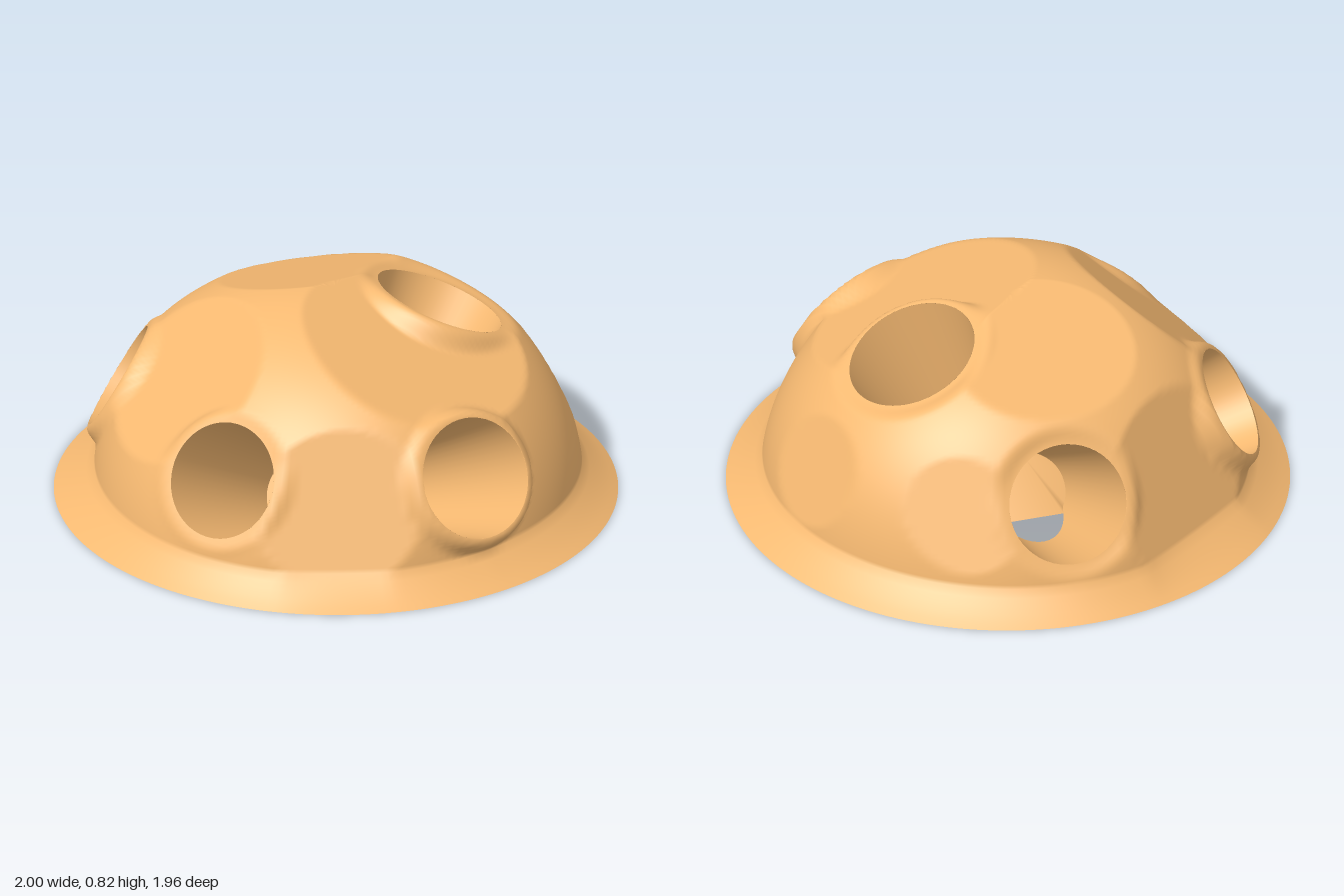
import * as THREE from 'three';

const V = (x, y, z) => new THREE.Vector3(x, y, z);
const material = new THREE.MeshStandardMaterial({ color: 0xf7ba72, side: THREE.DoubleSide });

// Flat facets that cut the round dome: normal and distance from the origin
const facets = [
  [V(0.26, 1, 0.34), 0.73], [V(0.03, 1, -0.34), 0.776], [V(-0.95, 1, 0), 0.783],
  [V(-0.35, 0.4, 0.9), 0.82], [V(-0.35, 0.4, -0.9), 0.805],
  [V(0.93, 0.37, 0), 0.85], [V(0.62, 0.4, -0.68), 0.84],
].map(([n, d]) => ({ n: n.normalize(), d }));

// Tunnels: mouth centre, azimuth and elevation in degrees, mouth radius, end radius, depth
const tunnels = [
  ['frontTunnel', V(0.21, 0.365, 0.77), 78, 28, 0.217, 0.145, 0.6],
  ['rightFrontTunnel', V(-0.62, 0.36, 0.425), 146, 29, 0.208, 0.145, 0.6],
  ['rightBackTunnel', V(-0.645, 0.36, -0.46), 214, 29, 0.203, 0.145, 0.6],
  ['backTunnel', V(0.185, 0.355, -0.71), 285, 29, 0.215, 0.145, 0.6],
  ['topTunnel', V(0.4, 0.665, 0), 0, 66, 0.237, 0.14, 0.64],
].map(([name, c, azimuth, elev, r0, r1, depth]) => {
  const e = THREE.MathUtils.degToRad(elev), a = THREE.MathUtils.degToRad(azimuth);
  const n = V(Math.cos(a) * Math.cos(e), Math.sin(e), Math.sin(a) * Math.cos(e));
  const side = V(0, 1, 0).cross(n).normalize();
  return { name, c, n, r0, r1, depth, side, up: n.clone().cross(side) };
});

const outerPoint = a => V(Math.cos(a), 0, Math.sin(a)).multiplyScalar(0.99 + 0.013 * Math.cos(2 * a - 0.9));

// Dome surface along one direction; inside is true within a tunnel mouth
function domePoint(a, e) {
  const dir = V(Math.cos(a) * Math.cos(e), Math.sin(e), Math.sin(a) * Math.cos(e));
  let r = 0.873 - 0.05 * Math.sin(e) ** 4 + 0.008 * Math.sin(3 * a + 4 * e) * Math.cos(e);
  for (const { n, d } of facets) {
    const k = dir.dot(n);
    if (k > 0.1) r = Math.min(r, d / k);
  }
  const p = dir.clone().multiplyScalar(r);
  let inside = false;
  for (const { c, n, r0 } of tunnels) {
    const k = dir.dot(n);
    if (k < 0.4) continue;
    const q = dir.clone().multiplyScalar(c.dot(n) / k);
    const rho = q.distanceTo(c);
    if (rho < r0) {
      inside = true;
      p.copy(q.sub(c).multiplyScalar(r0 / Math.max(rho, 1e-6)).add(c));
    } else {
      // raised lip round the mouth
      p.lerp(q, 1 - THREE.MathUtils.smoothstep(rho, r0 * 1.05, r0 * 1.37));
    }
  }
  return { p, inside };
}

// Flared skirt and dome as one grid, with the tunnel mouths left open
function makeShell() {
  const cols = 200, skirtRows = 5, domeRows = 80, e0 = 0.115;
  const pos = [], inside = [], index = [];
  for (let j = 0; j <= skirtRows + domeRows; j++) {
    for (let i = 0; i < cols; i++) {
      const a = i / cols * Math.PI * 2;
      let s;
      if (j < skirtRows) {
        const t = j / skirtRows, foot = domePoint(a, e0).p;
        const p = outerPoint(a).lerp(foot, t);
        p.y = foot.y * (0.75 * t + 0.25 * t * t);
        s = { p, inside: false };
      } else {
        s = domePoint(a, e0 + (Math.PI / 2 - e0) * (j - skirtRows) / domeRows);
      }
      pos.push(s.p.x, s.p.y, s.p.z);
      inside.push(s.inside);
    }
  }
  const tri = (...t) => { if (!t.every(k => inside[k])) index.push(...t); };
  for (let j = 0; j < skirtRows + domeRows; j++) {
    for (let i = 0; i < cols; i++) {
      const i2 = (i + 1) % cols;
      const b = j * cols + i, b2 = j * cols + i2;
      tri(b, b + cols, b2);
      tri(b2, b + cols, b2 + cols);
    }
  }
  const g = new THREE.BufferGeometry();
  g.setAttribute('position', new THREE.Float32BufferAttribute(pos, 3));
  g.setIndex(index);
  g.computeVertexNormals();
  return g;
}

// Tapered tunnel stopped at its end wall or at the floor
function makeTunnel({ c, n, r0, r1, depth, side, up }) {
  const seg = 48, mouth = [], end = [], floorPts = [];
  for (let i = 0; i < seg; i++) {
    const a = i / seg * Math.PI * 2;
    const radial = up.clone().multiplyScalar(Math.cos(a)).addScaledVector(side, Math.sin(a));
    const m = c.clone().addScaledVector(radial, r0);
    const e = c.clone().addScaledVector(n, -depth).addScaledVector(radial, r1);
    if (e.y < 0) {
      e.lerp(m, e.y / (e.y - m.y));
      floorPts.push(e);
    }
    mouth.push(m);
    end.push(e);
  }
  const index = [];
  for (let i = 0; i < seg; i++) {
    const k = (i + 1) % seg;
    index.push(i, seg + i, k, k, seg + i, seg + k);
  }
  // end wall uses its own vertices so its edge stays sharp
  const inner = floorPts.slice(1, -1);
  const cap = end.filter(p => !inner.includes(p));
  for (let i = 1; i < cap.length - 1; i++) index.push(2 * seg, 2 * seg + i, 2 * seg + i + 1);
  const geometry = new THREE.BufferGeometry().setFromPoints([...mouth, ...end, ...cap]);
  geometry.setIndex(index);
  geometry.computeVertexNormals();
  return { geometry, floorPts };
}

export function createModel() {
  const group = new THREE.Group();
  const add = (name, geometry) => {
    const mesh = new THREE.Mesh(geometry, material);
    mesh.name = name;
    group.add(mesh);
  };
  add('domeShell', makeShell());

  // Flat underside, pierced by the side and back tunnels; the front one keeps its floor
  const outline = Array.from({ length: 200 }, (_, i) => {
    const p = outerPoint(i / 200 * Math.PI * 2);
    return new THREE.Vector2(p.x, p.z);
  });
  const base = new THREE.Shape(outline);
  for (const t of tunnels) {
    const { geometry, floorPts } = makeTunnel(t);
    add(t.name, geometry);
    if (floorPts.length > 2 && t.name !== 'frontTunnel') {
      base.holes.push(new THREE.Path(floorPts.map(p => new THREE.Vector2(p.x, p.z))));
    }
  }
  add('base', new THREE.ShapeGeometry(base).rotateX(Math.PI / 2));
  return group;
}
